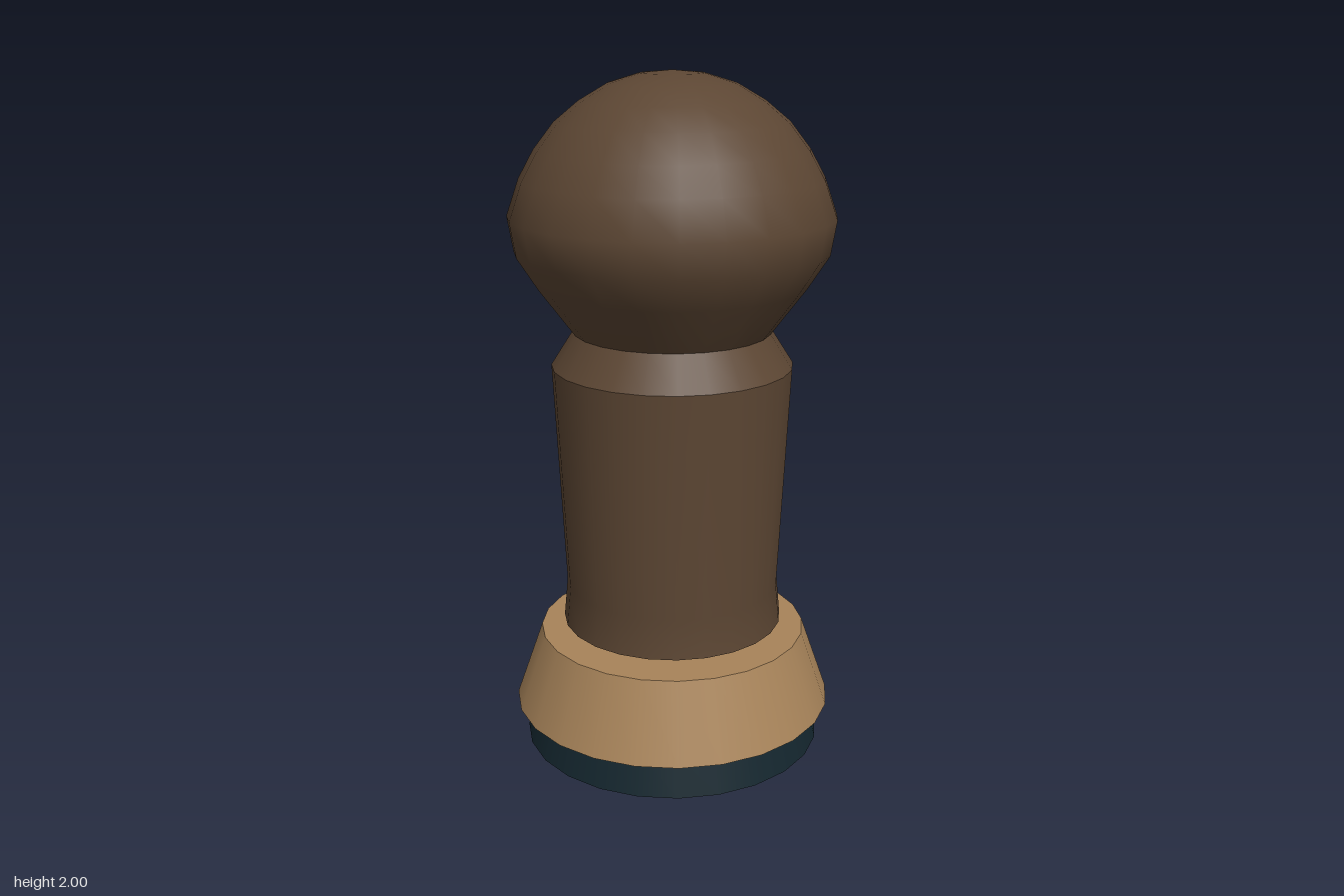
import * as THREE from 'three';

const SIDES = 24;
const BROWN = 0x5c4633, TAN = 0xa8845a, DARK = 0x14262e;

// Turned part: each profile runs outward/upward; separate profiles meet in sharp edges.
function turned(name, color, profiles) {
  const group = new THREE.Group();
  group.name = name;
  const material = new THREE.MeshStandardMaterial({ color });
  profiles.forEach((profile, i) => {
    const points = profile.map(([r, y]) => new THREE.Vector2(r, y));
    const mesh = new THREE.Mesh(new THREE.LatheGeometry(points, SIDES), material);
    mesh.name = `${name}Surface${i + 1}`;
    group.add(mesh);
  });
  return group;
}

// Closed drum with flat ends and a slanted wall.
const drum = (name, color, r0, y0, r1, y1) => turned(name, color, [
  [[0, y0], [r0, y0]],
  [[r0, y0], [r1, y1]],
  [[r1, y1], [0, y1]],
]);

export function createModel() {
  const model = new THREE.Group();
  model.name = 'turnedPiece';

  // Felt foot, wooden collar and the thin neck above it
  model.add(drum('foot', DARK, 0.45, 0, 0.42, 0.115));
  model.add(drum('collar', TAN, 0.48, 0.115, 0.4, 0.345));
  model.add(drum('neck', BROWN, 0.262, 0.34, 0.262, 0.378));

  // Body with a slight flare at the foot and a bevelled shoulder
  model.add(turned('body', BROWN, [
    [[0, 0.375], [0.33, 0.375]],
    [[0.33, 0.375], [0.319, 0.495], [0.352, 1.167]],
    [[0.352, 1.167], [0.288, 1.268]],
  ]));

  // Ball head, narrowing to the shoulder
  model.add(turned('head', BROWN, [[
    [0.288, 1.268], [0.39, 1.405], [0.451, 1.5], [0.468, 1.6],
    [0.432, 1.705], [0.388, 1.785], [0.33, 1.86], [0.26, 1.918],
    [0.18, 1.965], [0.091, 1.992], [0, 2],
  ]]));

  return model;
}
